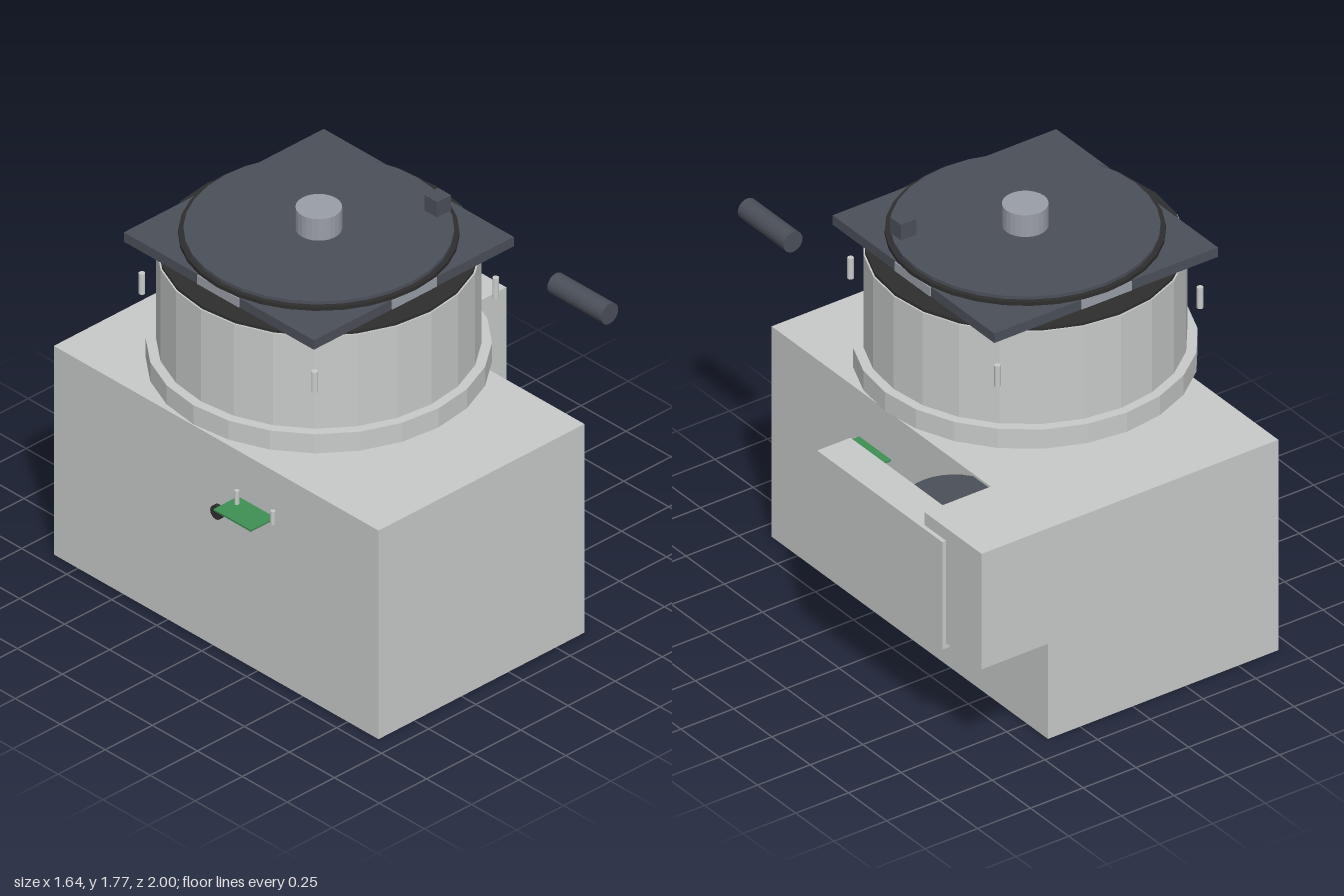
import * as THREE from 'three';

const mat = (name, color) => {
  const m = new THREE.MeshStandardMaterial({ color });
  m.name = name;
  m.flatShading = true;
  return m;
};

export function createModel() {
  const model = new THREE.Group();
  model.name = 'turntableMachine';
  const light = mat('lightGrey', 0xc8caca);
  const slate = mat('slate', 0x4b4f59);
  const black = mat('charcoal', 0x2e2e2e);
  const steel = mat('steel', 0x9a9ea8);
  const green = mat('boardGreen', 0x3f8f55);

  // Box given by its extents on each axis
  const box = (name, m, x0, x1, y0, y1, z0, z1) => {
    const mesh = new THREE.Mesh(new THREE.BoxGeometry(x1 - x0, y1 - y0, z1 - z0), m);
    mesh.position.set((x0 + x1) / 2, (y0 + y1) / 2, (z0 + z1) / 2);
    mesh.name = name;
    model.add(mesh);
    return mesh;
  };
  // Upright cylinder given by radius, height range and centre
  const cyl = (name, m, r, y0, y1, x, z, sides = 24) => {
    const mesh = new THREE.Mesh(new THREE.CylinderGeometry(r, r, y1 - y0, sides), m);
    mesh.position.set(x, (y0 + y1) / 2, z);
    mesh.name = name;
    model.add(mesh);
    return mesh;
  };
  const cx = -0.145, cz = 0.017;

  // Main housing
  box('housing', light, -0.69, 0.402, 0, 0.953, -0.885, 0.92);

  // Rotating drum stack
  cyl('neck', light, 0.262, 0.953, 1.07, cx, cz);
  cyl('flange', light, 0.665, 1.07, 1.157, cx, cz);
  cyl('drum', light, 0.625, 1.157, 1.576, cx, cz);
  cyl('drumLid', black, 0.618, 1.576, 1.588, cx, cz);
  cyl('spacerDisc', black, 0.5, 1.588, 1.6, cx, cz);

  // Square platform with a disc on top
  box('platform', slate, cx - 0.53, cx + 0.53, 1.597, 1.64, cz - 0.528, cz + 0.528);
  cyl('discRing', black, 0.54, 1.64, 1.656, cx, cz, 32);
  cyl('topDisc', slate, 0.52, 1.656, 1.67, cx, cz, 32);
  cyl('centreKnob', steel, 0.09, 1.67, 1.768, cx, cz);
  box('topBlock', slate, 0.235, 0.308, 1.67, 1.74, 0.205, 0.277);

  // Plates at the middle of each platform edge
  for (const s of [-1, 1]) {
    const zc = cz + s * 0.53, xc = cx + s * 0.532;
    box('edgePlate', steel, cx - 0.118, cx + 0.118, 1.6, 1.64, zc - 0.004, zc + 0.004);
    box('edgePlate', steel, xc - 0.004, xc + 0.004, 1.6, 1.64, cz - 0.115, cz + 0.115);
  }

  // Pins around the drum and feet around the neck
  for (const sx of [-1, 1]) for (const sz of [-1, 1]) {
    cyl('drumPin', light, 0.013, 1.362, 1.455, cx + sx * 0.48, cz + sz * 0.48, 12);
    cyl('neckFoot', light, 0.019, 0.953, 0.975, cx + sx * 0.226, cz + sz * 0.232, 12);
  }

  // Front roller
  const roller = cyl('roller', slate, 0.045, -0.15, 0.15, 0.46, 0, 20);
  roller.rotation.x = Math.PI / 2;
  roller.position.set(0.46, 1.468, 0.85);

  // Side drive: rear box, side cover and wheel
  box('rearBox', light, 0.347, 0.8, 0.52, 1.043, -1, -0.627);
  box('sideCover', light, 0.66, 0.818, 0.498, 0.985, -0.768, 0.05);
  cyl('driveWheel', slate, 0.2, 0.82, 0.942, 0.57, -0.505, 32);

  // Circuit board and its pins
  box('circuitBoard', green, -0.82, 0.535, 0.737, 0.745, 0.14, 0.347);
  for (const z of [0.19, 0.39]) cyl('boardPin', light, 0.01, 0.76, 0.82, -0.745, z, 12);

  // Side buttons
  for (const [x, y, z] of [[-0.69, 0.63, 0.035], [0.402, 0.665, -0.15]]) {
    const b = cyl('sideButton', black, 0.03, -0.02, 0.02, x, z, 16);
    b.rotation.z = Math.PI / 2;
    b.position.y = y;
  }
  return model;
}
